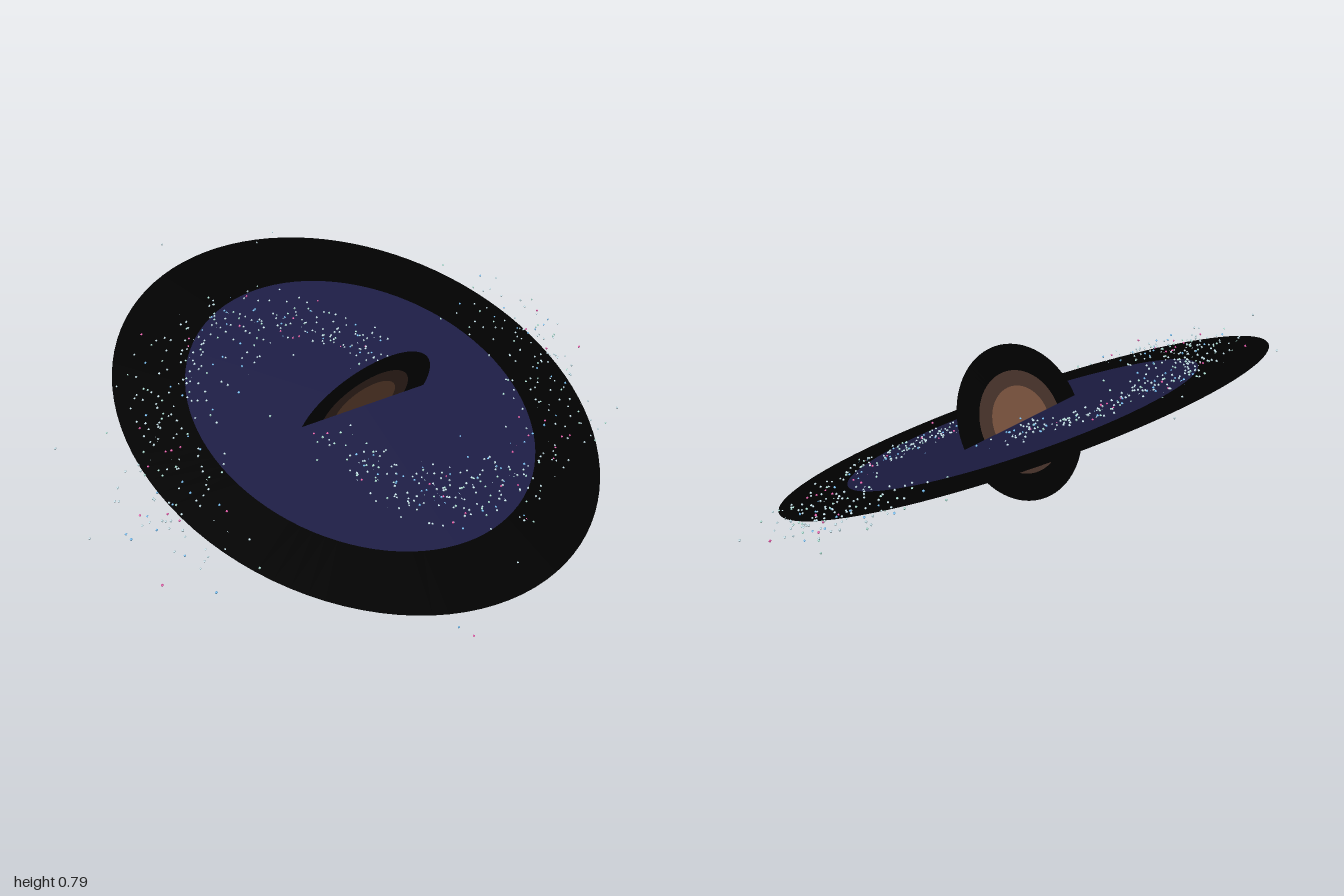
import * as THREE from 'three';
import { mergeGeometries } from 'three/addons/utils/BufferGeometryUtils.js';

const TILT = THREE.MathUtils.degToRad(26.1);
const BULGE_TILT = THREE.MathUtils.degToRad(31.4);
const CENTRE = new THREE.Vector3(0.04, 0.393, 0.004);

function paint(name, color, side = THREE.DoubleSide) {
  const m = new THREE.MeshStandardMaterial({ color, side });
  m.name = name;
  return m;
}

// small seeded generator, plus a bell-curve spread
let seed = 7;
function rand() {
  seed = (seed * 16807) % 2147483647;
  return seed / 2147483647;
}
const gauss = () => Math.sqrt(-2 * Math.log(rand() + 1e-9)) * Math.cos(2 * Math.PI * rand());

// concentric flat bands, from the centre outward
function bands(name, list) {
  const g = new THREE.Group();
  g.name = name;
  let inner = 0;
  for (const [part, radius, material] of list) {
    const geo = inner ? new THREE.RingGeometry(inner, radius, 96) : new THREE.CircleGeometry(radius, 96);
    const mesh = new THREE.Mesh(geo, material);
    mesh.name = part;
    g.add(mesh);
    inner = radius;
  }
  g.position.copy(CENTRE);
  return g;
}

export function createModel() {
  const model = new THREE.Group();
  model.name = 'spiralGalaxy';

  const black = paint('black', 0x000000);
  const indigo = paint('indigo', 0x1d1d45);
  const brown = paint('dark brown', 0x47322a);
  const copper = paint('copper', 0x7a533e);
  const starMaterials = [
    paint('pale slate', 0xb8d4dc, THREE.FrontSide), paint('sky blue', 0x62b0e4, THREE.FrontSide),
    paint('sea green', 0xa0d4c8, THREE.FrontSide), paint('magenta', 0xd8409a, THREE.FrontSide),
  ];

  // galactic disc
  const disc = bands('disc', [['discHaze', 0.568, indigo], ['discRim', 0.788, black]]);
  disc.rotation.x = TILT - Math.PI / 2;
  model.add(disc);

  // glowing core, a disc crossing the galactic plane
  const core = bands('core', [['coreCentre', 0.114, copper], ['coreHalo', 0.163, brown], ['coreRim', 0.247, black]]);
  core.rotation.x = BULGE_TILT;
  model.add(core);

  // stars: two trailing spiral arms in the tilted plane
  const sets = starMaterials.map(() => []);
  const addStar = (p, size) => {
    const pick = rand();
    const k = pick < 0.62 ? 0 : pick < 0.77 ? 1 : pick < 0.95 ? 2 : 3;
    sets[k].push(new THREE.OctahedronGeometry(size).translate(p.x, p.y, p.z));
  };
  const xAxis = new THREE.Vector3(1, 0, 0);
  for (let i = 0; i < 1150; i++) {
    const t = rand();
    const r = 0.2 + 0.59 * t;
    const spread = 0.045 + 0.055 * t;
    const angle = THREE.MathUtils.degToRad(38 + 160 * t) + (i % 2) * Math.PI;
    const p = new THREE.Vector3(
      Math.cos(angle) * r + gauss() * spread,
      gauss() * (rand() < 0.15 ? 0.018 : 0.009),
      -Math.sin(angle) * r + gauss() * spread,
    ).applyAxisAngle(xAxis, TILT).add(CENTRE);
    if (Math.abs(p.x) > 0.98 || Math.abs(p.z) > 0.72 || p.y < 0.01 || p.y > 0.78) continue;
    addStar(p, 0.004 + rand() * 0.001);
  }
  // outlying stars
  const outliers = [
    [-0.996, 0.34, 0.1], [0.996, 0.46, -0.2], [-0.17, 0.004, 0.73], [-0.2, 0.03, 0.7],
    [-0.21, 0.785, -0.73], [0.23, 0.74, -0.72], [0.12, 0.74, -0.66], [0.09, 0.1, 0.64],
  ];
  for (const o of outliers) addStar(new THREE.Vector3(...o), 0.004);

  const stars = new THREE.Group();
  stars.name = 'stars';
  sets.forEach((geos, k) => {
    const mesh = new THREE.Mesh(mergeGeometries(geos), starMaterials[k]);
    mesh.name = ['paleStars', 'blueStars', 'greenStars', 'magentaStars'][k];
    stars.add(mesh);
  });
  model.add(stars);
  return model;
}
